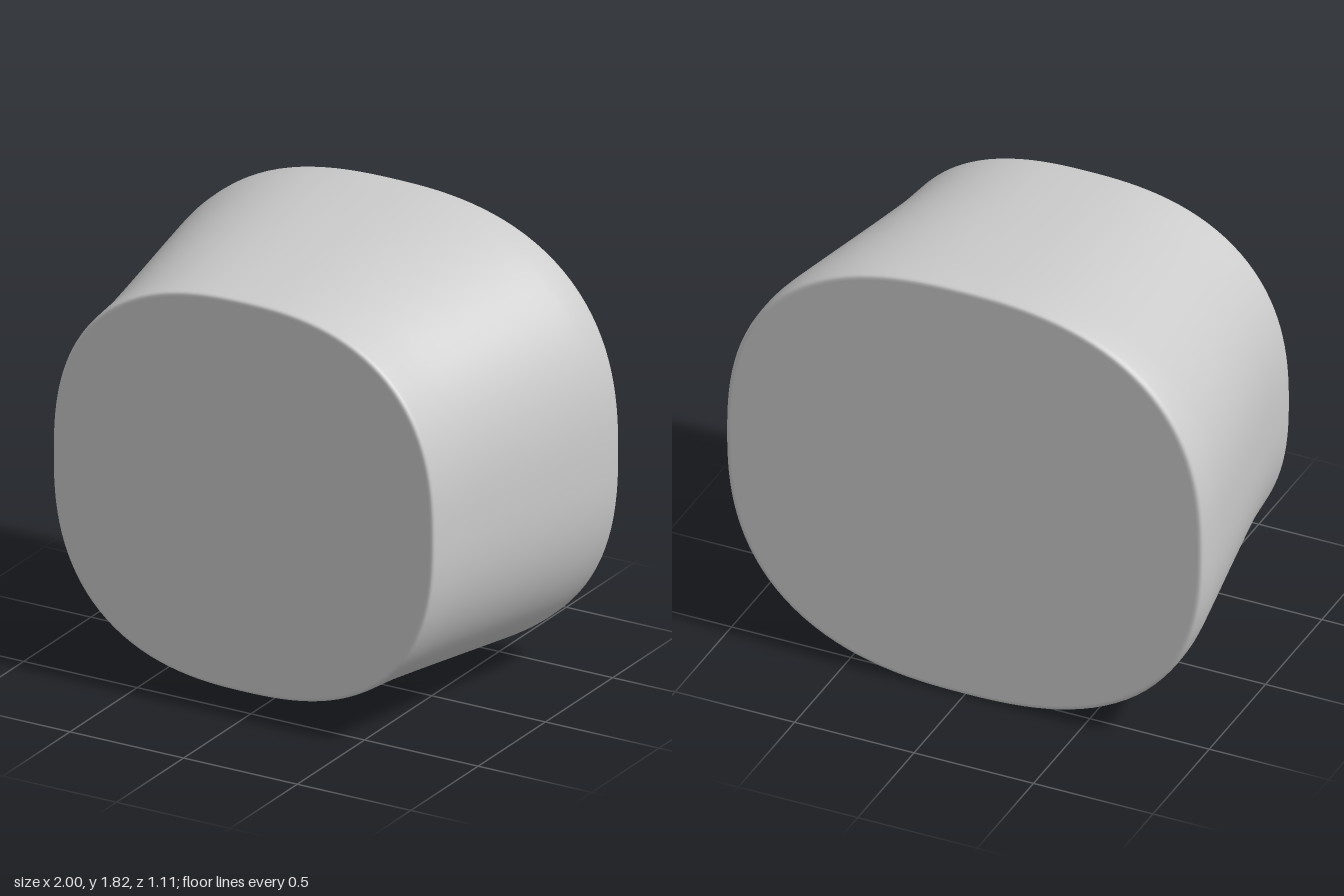
import * as THREE from 'three';

// Rounded-square cross-sections from back to front: [z, half width, half height]
const SECTIONS = [
  [-0.557, 0, 0], [-0.557, 0.5, 0.455], [-0.557, 0.975, 0.889], [-0.557, 0.985, 0.899],
  [-0.553, 0.993, 0.906], [-0.545, 0.997, 0.909], [-0.53, 0.999, 0.911],
  [-0.49, 1, 0.912], [-0.44, 0.998, 0.911], [-0.4, 0.992, 0.908], [-0.34, 0.982, 0.901],
  [-0.2, 0.957, 0.885], [0, 0.92, 0.862], [0.2, 0.884, 0.839],
  [0.3, 0.867, 0.828], [0.37, 0.856, 0.82], [0.44, 0.849, 0.815], [0.535, 0.841, 0.806],
  [0.548, 0.839, 0.804], [0.555, 0.835, 0.8], [0.557, 0.828, 0.793],
  [0.557, 0.82, 0.785], [0.557, 0.42, 0.4], [0.557, 0, 0],
];
const CENTRE_Y = 0.913;
const SIDES = 128;
const POWER = 2 / 2.5; // superellipse roundness

const signedPow = (v) => Math.sign(v) * Math.pow(Math.abs(v), POWER);

// Direction of an outline point, spaced evenly by polar angle
function outline(j) {
  const a = (j / SIDES) * Math.PI * 2;
  const c = Math.cos(a), s = Math.sin(a);
  const r = Math.pow(Math.abs(c) ** 2.5 + Math.abs(s) ** 2.5, -1 / 2.5);
  return [c * r, s * r];
}

function loft(sections) {
  const position = [], index = [];
  sections.forEach(([z, w, h], i) => {
    for (let j = 0; j < SIDES; j++) {
      const [x, y] = outline(j);
      position.push(x * w, CENTRE_Y + y * h, z);
      if (i === sections.length - 1) continue;
      const k = (j + 1) % SIDES;
      const a = i * SIDES + j, b = i * SIDES + k;
      const c = b + SIDES, d = a + SIDES;
      // the first and last bands close to a point
      if (i > 0) index.push(a, b, c);
      else index.push(a, c, d);
      if (i > 0 && i < sections.length - 2) index.push(a, c, d);
    }
  });
  const geometry = new THREE.BufferGeometry();
  geometry.setAttribute('position', new THREE.Float32BufferAttribute(position, 3));
  geometry.setIndex(index);
  geometry.computeVertexNormals();
  return geometry;
}

export function createModel() {
  const group = new THREE.Group();
  group.name = 'taperedPlug';
  // Solid tapered body with flat ends and softened rims
  const body = new THREE.Mesh(loft(SECTIONS), new THREE.MeshStandardMaterial({ color: 0xcccccc }));
  body.name = 'taperedBody';
  group.add(body);
  return group;
}
